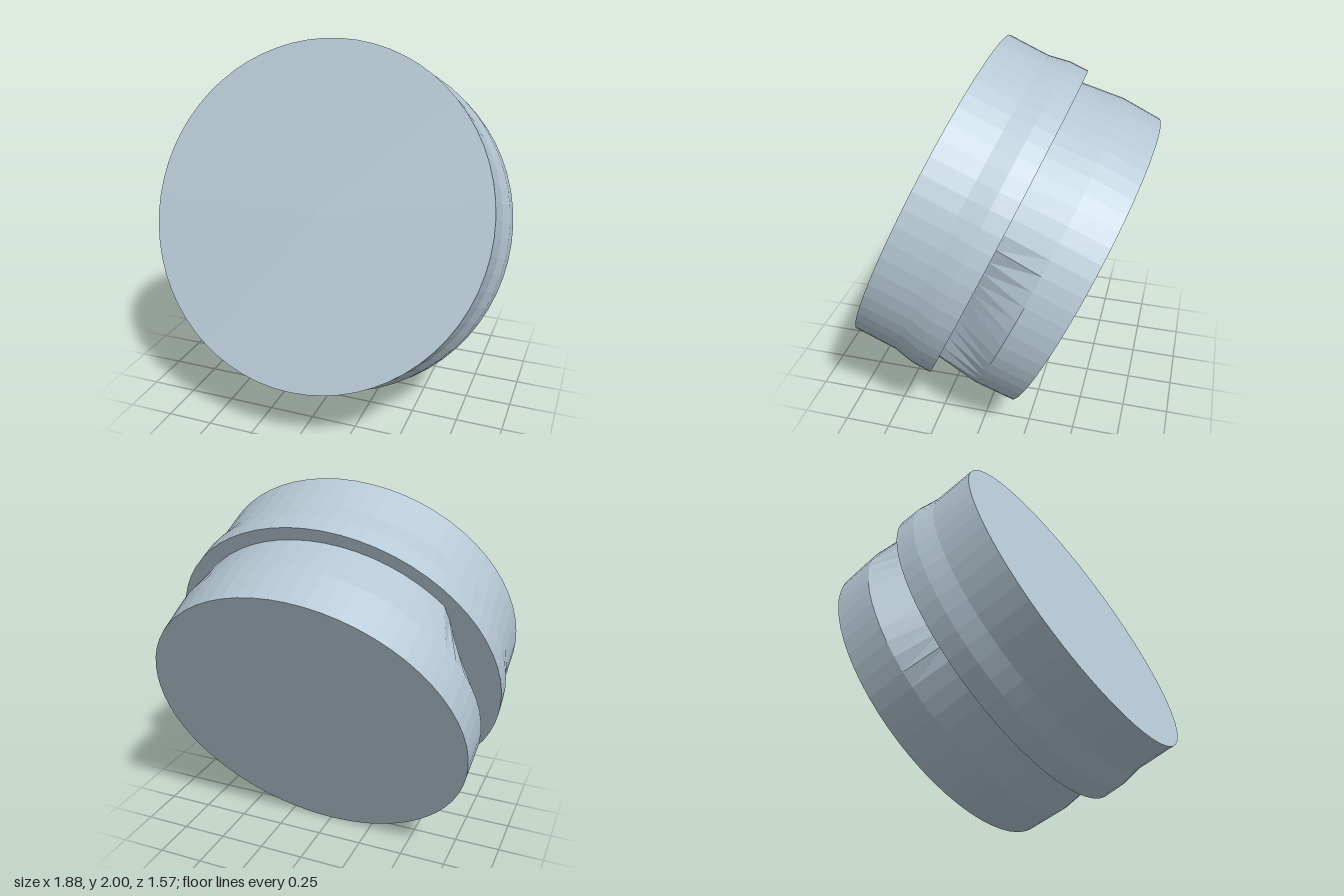
import * as THREE from 'three';

const SEG = 64;
const TILT = THREE.MathUtils.degToRad(23.9);
// Angular range where the neck of the rear drum is cut flat (repeated on the opposite side)
const CUT_MID = THREE.MathUtils.degToRad(-6.5);
const CUT_HALF = THREE.MathUtils.degToRad(31.5);

// Skin rings of [radius, z, cut?], ordered from front to back
function loftRings(rings) {
  const pos = [], idx = [];
  for (const [r, z, cut] of rings) {
    for (let j = 0; j < SEG; j++) {
      const a = (j / SEG) * Math.PI * 2;
      let rad = r;
      if (cut) {
        // limit the circle to two parallel chords
        const c = Math.abs(Math.cos(a - CUT_MID));
        rad = Math.min(r, (r * Math.cos(CUT_HALF)) / Math.max(c, 1e-6));
      }
      pos.push(rad * Math.cos(a), rad * Math.sin(a), z);
    }
  }
  for (let i = 0; i < rings.length - 1; i++) {
    for (let j = 0; j < SEG; j++) {
      const k = (j + 1) % SEG;
      const a = i * SEG + j, b = i * SEG + k, c = a + SEG, d = b + SEG;
      if (rings[i + 1][0] > 0) idx.push(a, c, d);
      if (rings[i][0] > 0) idx.push(a, d, b);
    }
  }
  const g = new THREE.BufferGeometry();
  g.setAttribute('position', new THREE.Float32BufferAttribute(pos, 3));
  g.setIndex(idx);
  const flat = g.toNonIndexed();
  flat.computeVertexNormals();
  return flat;
}

export function createModel() {
  const model = new THREE.Group();
  model.name = 'tiltedCap';

  const paleBlue = new THREE.MeshStandardMaterial({ color: 0xb4c7d3 });
  paleBlue.name = 'paleBlueGrey';
  paleBlue.flatShading = true;

  const body = new THREE.Group();
  body.name = 'capBody';
  body.rotation.x = -TILT;
  body.position.set(0, 0.983, -0.005);
  model.add(body);

  // Front disc, flaring back into a wider rim with a flat rear shoulder
  const front = new THREE.Mesh(loftRings([
    [0, 0.462], [0.913, 0.462], [0.913, 0.225], [0.936, 0.11], [0.938, 0], [0, 0],
  ]), paleBlue);
  front.name = 'frontDrum';
  front.position.y = -0.004;
  body.add(front);

  // Rear drum, with a neck cut flat on both sides where it meets the shoulder
  const rear = new THREE.Mesh(loftRings([
    [0.855, 0, true], [0.885, -0.24], [0.877, -0.462], [0, -0.462],
  ]), paleBlue);
  rear.name = 'rearDrum';
  rear.position.set(-0.006, 0.006, 0);
  body.add(rear);

  return model;
}
